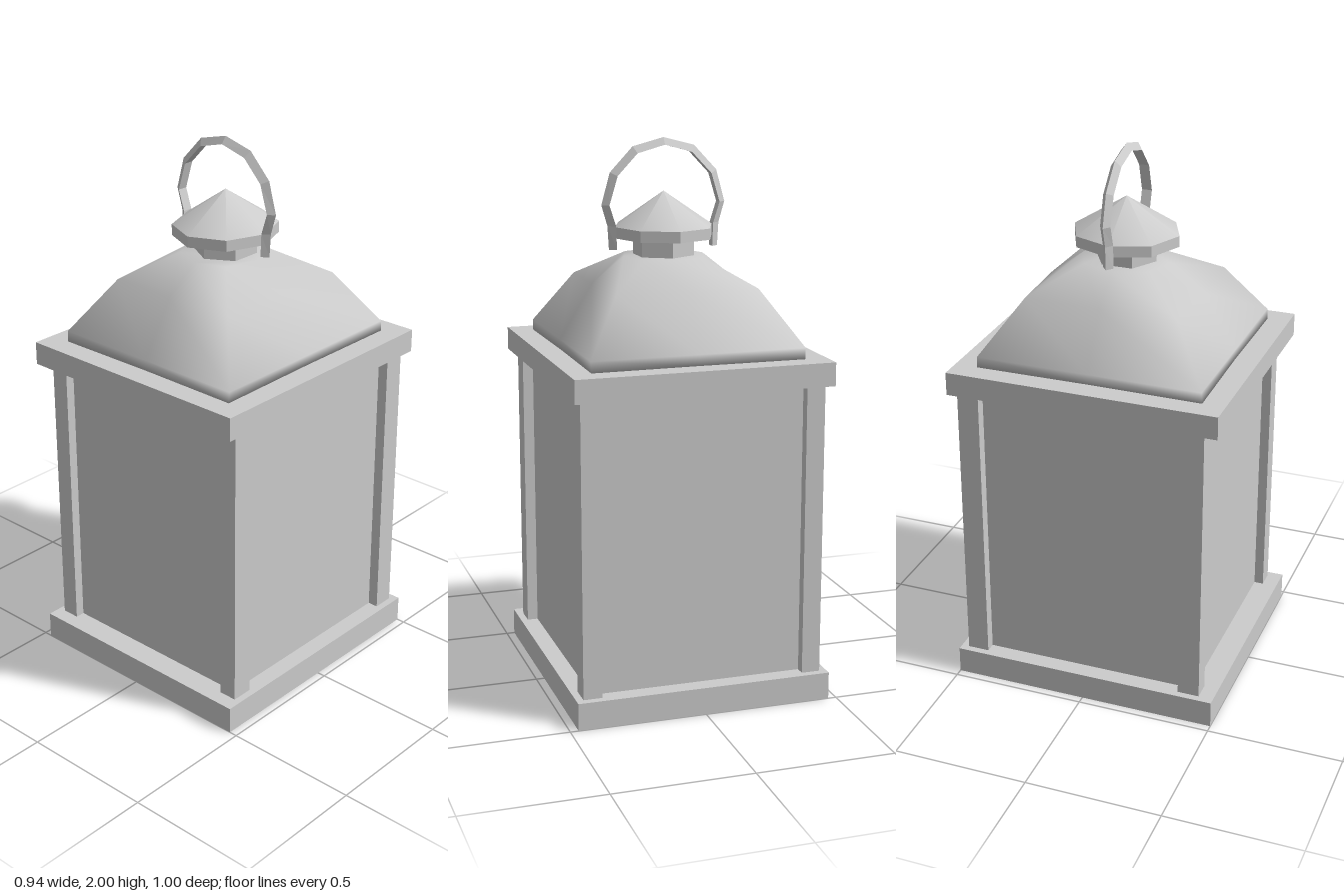
import * as THREE from 'three';

const smooth = new THREE.MeshStandardMaterial({ color: 0xcccccc });
const flat = new THREE.MeshStandardMaterial({ color: 0xcccccc, flatShading: true });

// Skin a stack of closed cross-sections and cap both ends
function loft(rings) {
  const n = rings[0].length, index = [];
  for (let i = 0; i < rings.length - 1; i++) {
    for (let j = 0; j < n; j++) {
      const a = i * n + j, b = i * n + (j + 1) % n;
      index.push(a, b, a + n, b, b + n, a + n);
    }
  }
  const last = (rings.length - 1) * n;
  for (let j = 1; j < n - 1; j++) index.push(0, j + 1, j, last, last + j, last + j + 1);
  const geometry = new THREE.BufferGeometry();
  geometry.setAttribute('position', new THREE.Float32BufferAttribute(rings.flat(2), 3));
  geometry.setIndex(index);
  geometry.computeVertexNormals();
  return geometry;
}

export function createModel() {
  const model = new THREE.Group();
  const add = (name, geometry, x, y, z, material = smooth) => {
    const mesh = new THREE.Mesh(geometry, material);
    mesh.name = name;
    mesh.position.set(x, y, z);
    model.add(mesh);
  };
  const box = (name, w, h, d, x, y, z) => add(name, new THREE.BoxGeometry(w, h, d), x, y, z);

  // Lantern body: slabs, inset panels and corner posts
  box('base', 0.94, 0.1, 1, 0, 0.05, 0);
  box('topSlab', 0.94, 0.085, 1, 0, 1.2075, 0);
  box('panels', 0.81, 1.065, 0.845, 0, 0.6325, -0.0125);
  for (const x of [-0.41, 0.41]) {
    for (const z of [0.405, -0.432]) box('cornerPost', 0.068, 1.065, 0.08, x, 0.6325, z);
  }

  // Domed roof: square at the eaves, octagonal at the crown
  // [height, half width, half depth, corner reach]
  const roofRings = [
    [1.25, 0.385, 0.413, 1.01],
    [1.29, 0.39, 0.415, 1],
    [1.485, 0.27, 0.29, 0.97],
    [1.58, 0.15, 0.165, 0.73],
  ].map(([y, w, d, c]) => Array.from({ length: 8 }, (_, k) => {
    const a = k * Math.PI / 4, s = k % 2 ? c * Math.SQRT2 : 1;
    return [w * s * Math.cos(a), y, -d * s * Math.sin(a)];
  }));
  add('roof', loft(roofRings), 0, 0, 0);

  // Chimney neck, brim and pointed cap
  add('neck', new THREE.CylinderGeometry(0.113, 0.113, 0.075, 6), 0, 1.6125, 0, flat);
  const brim = new THREE.CylinderGeometry(0.197, 0.197, 0.04, 8).scale(0.93, 1, 1);
  add('brim', brim, 0, 1.665, 0, flat);
  const cap = new THREE.ConeGeometry(0.197, 0.125, 8).scale(0.93, 1, 1);
  add('cap', cap, 0, 1.7475, 0);

  // Carrying handle: triangular section with its ridge outwards
  // [outer x, outer y, inner x, inner y]
  const half = [
    [0.205, 1.605, 0.18, 1.605],
    [0.21, 1.69, 0.183, 1.69],
    [0.232, 1.765, 0.207, 1.765],
    [0.2, 1.88, 0.176, 1.868],
    [0.115, 1.97, 0.102, 1.946],
    [0, 2, 0, 1.974],
  ];
  const mirrored = half.slice(0, -1).reverse().map(([a, b, c, d]) => [-a, b, -c, d]);
  const handleRings = [...half, ...mirrored].map(([ox, oy, ix, iy]) =>
    [[ox, oy, 0], [ix, iy, -0.019], [ix, iy, 0.019]]);
  add('handle', loft(handleRings), 0, 0, 0, flat);

  return model;
}
